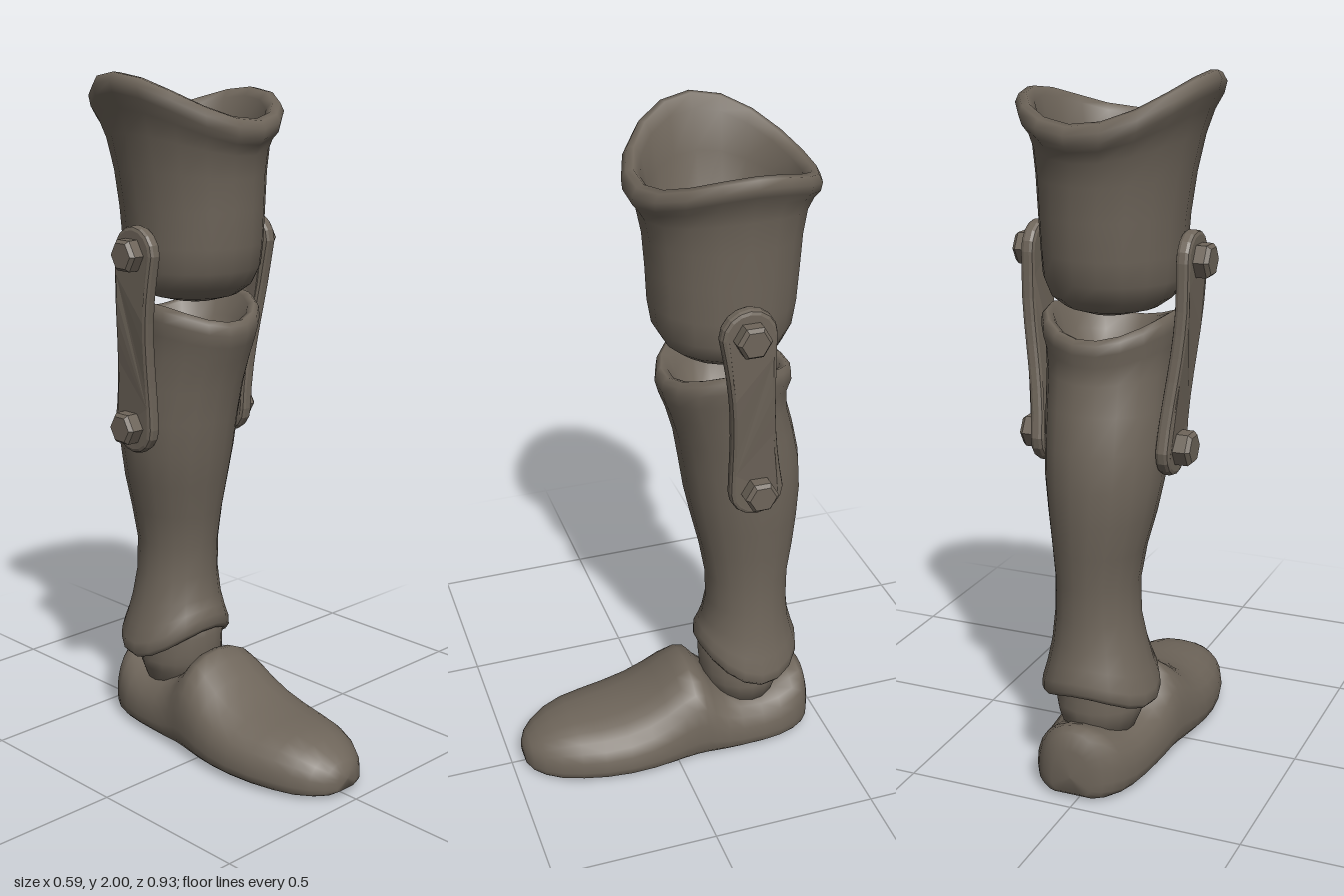
import * as THREE from 'three';

const leather = new THREE.MeshStandardMaterial({ color: 0x6e655a });
leather.name = 'grey brown';

// Skin through closed rows of points; shared vertices keep the surface smooth.
function skin(rows) {
  const n = rows[0].length, pos = [], idx = [];
  rows.forEach(r => r.forEach(p => pos.push(...p)));
  for (let i = 0; i < rows.length - 1; i++) for (let j = 0; j < n; j++) {
    const a = i * n + j, b = i * n + (j + 1) % n;
    idx.push(a, a + n, b, b, a + n, b + n);
  }
  const g = new THREE.BufferGeometry();
  g.setAttribute('position', new THREE.Float32BufferAttribute(pos, 3));
  g.setIndex(idx);
  g.computeVertexNormals();
  return g;
}

// Horizontal rings: [y, xMin, xMax, zFront, zBack, saddle, lean to +x, lean to front]
function rings(list, n = 18) {
  return skin(list.map(([y, x0, x1, z0, z1, s = 0, t = 0, f = 0]) =>
    Array.from({ length: n }, (_, j) => {
      const a = j / n * Math.PI * 2, c = Math.cos(a), d = Math.sin(a);
      return [(x0 + x1) / 2 + c * (x1 - x0) / 2,
        y + s * Math.cos(2 * a) + t * c + f * d,
        (z0 + z1) / 2 + d * (z0 - z1) / 2];
    })));
}

function thighCup() {
  return rings([
    [1.35, 0.005, 0.005, -0.17, -0.17],
    [1.353, -0.06, 0.07, -0.10, -0.25],
    [1.37, -0.125, 0.135, -0.04, -0.30],
    [1.40, -0.168, 0.178, 0.00, -0.335],
    [1.45, -0.19, 0.196, 0.03, -0.362],
    [1.52, -0.197, 0.2, 0.042, -0.374],
    [1.62, -0.205, 0.205, 0.047, -0.38],
    [1.72, -0.222, 0.21, 0.053, -0.386, 0.008, -0.005],
    [1.80, -0.245, 0.218, 0.065, -0.398, 0.025, -0.012],
    [1.845, -0.268, 0.232, 0.082, -0.415, 0.04, -0.02],
    [1.872, -0.292, 0.252, 0.097, -0.43, 0.05, -0.027],
    [1.9, -0.3, 0.262, 0.1, -0.433, 0.05, -0.03],
    [1.922, -0.288, 0.252, 0.088, -0.421, 0.05, -0.03],
    [1.925, -0.268, 0.232, 0.068, -0.402, 0.048, -0.028],
    [1.9, -0.245, 0.21, 0.05, -0.383, 0.042, -0.022],
    [1.82, -0.218, 0.192, 0.034, -0.366, 0.025, -0.012],
    [1.7, -0.185, 0.175, 0.015, -0.345],
    [1.6, -0.13, 0.13, -0.03, -0.3],
    [1.56, -0.06, 0.06, -0.1, -0.23],
    [1.55, 0, 0, -0.165, -0.165],
  ]);
}

function shinShell() {
  return rings([
    [0.45, -0.08, 0.11, -0.16, -0.36],
    [0.34, -0.115, 0.135, -0.14, -0.385, -0.03, 0, 0.015],
    [0.29, -0.135, 0.15, -0.125, -0.4, -0.035, 0, 0.02],
    [0.28, -0.152, 0.165, -0.112, -0.415, -0.035, 0, 0.02],
    [0.295, -0.166, 0.178, -0.103, -0.425, -0.035, 0, 0.02],
    [0.325, -0.163, 0.176, -0.104, -0.424, -0.033, 0, 0.02],
    [0.365, -0.146, 0.162, -0.114, -0.41, -0.025, 0, 0.012],
    [0.42, -0.127, 0.147, -0.125, -0.395, -0.01],
    [0.50, -0.108, 0.137, -0.135, -0.386],
    [0.60, -0.105, 0.135, -0.13, -0.386],
    [0.70, -0.122, 0.143, -0.112, -0.4],
    [0.80, -0.148, 0.155, -0.088, -0.41],
    [0.90, -0.167, 0.166, -0.066, -0.415],
    [1.00, -0.172, 0.171, -0.05, -0.407],
    [1.10, -0.17, 0.176, -0.032, -0.383],
    [1.19, -0.167, 0.183, -0.008, -0.358, 0.01],
    [1.25, -0.174, 0.19, 0.012, -0.356, 0.02],
    [1.29, -0.184, 0.2, 0.022, -0.368, 0.025],
    [1.32, -0.182, 0.198, 0.018, -0.365, 0.028],
    [1.333, -0.168, 0.185, 0.004, -0.35, 0.028],
    [1.325, -0.15, 0.166, -0.015, -0.333, 0.026],
    [1.27, -0.13, 0.145, -0.035, -0.315, 0.01],
    [1.2, -0.09, 0.1, -0.08, -0.27],
    [1.18, 0.005, 0.005, -0.17, -0.17],
  ]);
}

function ankleJoint() {
  return rings([
    [0.1, 0.015, 0.015, -0.25, -0.25],
    [0.13, -0.08, 0.11, -0.16, -0.35],
    [0.195, -0.108, 0.138, -0.13, -0.368],
    [0.225, -0.115, 0.143, -0.118, -0.375],
    [0.25, -0.11, 0.138, -0.118, -0.368],
    [0.31, -0.112, 0.138, -0.112, -0.372],
    [0.36, -0.1, 0.125, -0.125, -0.37],
    [0.46, 0.015, 0.015, -0.25, -0.25],
  ]);
}

// Foot sections from toe to heel: [z, centre x, half width, bottom, top]
function foot() {
  const n = 24;
  const list = [
    [0.465, 0.003, 0, 0.05, 0.05], [0.461, 0.003, 0.04, 0.018, 0.075],
    [0.445, 0.002, 0.075, 0.009, 0.096], [0.415, 0.002, 0.108, 0.004, 0.117],
    [0.37, 0.002, 0.138, 0, 0.14], [0.31, 0.002, 0.163, 0, 0.154],
    [0.24, 0.002, 0.181, 0, 0.159], [0.16, 0.002, 0.191, 0, 0.17],
    [0.09, 0.002, 0.192, 0, 0.192], [0.03, 0.002, 0.188, 0, 0.226],
    [-0.02, 0.003, 0.182, 0, 0.264], [-0.06, 0.005, 0.177, 0, 0.286],
    [-0.09, 0.007, 0.174, 0, 0.28], [-0.12, 0.009, 0.171, 0, 0.242],
    [-0.16, 0.011, 0.168, 0, 0.203], [-0.21, 0.013, 0.165, 0, 0.183],
    [-0.28, 0.015, 0.16, 0, 0.174], [-0.34, 0.016, 0.152, 0, 0.182],
    [-0.39, 0.016, 0.136, 0, 0.202], [-0.425, 0.016, 0.115, 0.003, 0.212],
    [-0.445, 0.016, 0.092, 0.007, 0.2], [-0.46, 0.016, 0.06, 0.02, 0.15],
    [-0.465, 0.016, 0, 0.07, 0.07],
  ];
  return skin(list.map(([z, cx, w, b, h]) => Array.from({ length: n }, (_, j) => {
    const a = j / n * Math.PI * 2, c = Math.cos(a), s = Math.sin(a);
    const mid = b + (h - b) * 0.27;
    const x = cx + w * Math.sign(c) * Math.abs(c) ** (s < 0 ? 0.7 : 0.85);
    const y = s < 0 ? mid - (mid - b) * Math.min(1, Math.abs(s) ** 0.6 * 1.12)
      : mid + (h - mid) * s ** 0.9;
    return [x, y, z];
  })));
}

// Hinge bar: waisted outline in the z-y plane, bent inward towards the shin.
function hingeBar(side, xTop, xLow) {
  const top = [-0.157, 1.505], low = [-0.21, 0.995], r = 0.068, pts = [];
  for (let i = 0; i <= 8; i++) {
    const a = i / 8 * Math.PI;
    pts.push(new THREE.Vector2(top[0] + r * Math.cos(a), top[1] + r * Math.sin(a)));
  }
  const edge = (sgn, k) => new THREE.Vector2(
    THREE.MathUtils.lerp(top[0], low[0], k) + sgn * (r - 0.016 * Math.sin(Math.PI * k)),
    THREE.MathUtils.lerp(top[1], low[1], k));
  for (let i = 1; i < 8; i++) pts.push(edge(-1, i / 8));
  for (let i = 0; i <= 8; i++) {
    const a = Math.PI + i / 8 * Math.PI;
    pts.push(new THREE.Vector2(low[0] + r * Math.cos(a), low[1] + r * Math.sin(a)));
  }
  for (let i = 7; i > 0; i--) pts.push(edge(1, i / 8));
  const g = new THREE.ExtrudeGeometry(new THREE.Shape(pts), {
    depth: 0.016, bevelThickness: 0.012, bevelSize: 0.012, bevelSegments: 2,
  });
  g.translate(0, 0, -0.008);
  g.rotateY(-Math.PI / 2); // outline x becomes z
  const p = g.attributes.position;
  for (let i = 0; i < p.count; i++) {
    const k = THREE.MathUtils.smoothstep(p.getY(i), 0.98, 1.42);
    p.setX(i, p.getX(i) + side * THREE.MathUtils.lerp(xLow, xTop, k));
  }
  g.computeVertexNormals();
  return g;
}

// Hexagonal bolt head with a chamfered outer face
function bolt() {
  const g = new THREE.LatheGeometry([[0, -0.035], [0.04, -0.035], [0.05, -0.02],
    [0.05, 0.024], [0.04, 0.035], [0, 0.035]].map(p => new THREE.Vector2(...p)), 6).toNonIndexed();
  g.computeVertexNormals();
  return g;
}

export function createModel() {
  const model = new THREE.Group();
  model.name = 'artificialLeg';
  const add = (name, geometry, parent = model) => {
    const m = new THREE.Mesh(geometry, leather);
    m.name = name;
    parent.add(m);
    return m;
  };
  add('thighCup', thighCup());
  add('shinShell', shinShell());
  add('ankleJoint', ankleJoint());
  add('foot', foot());

  // Knee hinges, each a bar with two bolts
  for (const [label, side, xTop, xLow] of [['left', 1, 0.232, 0.188], ['right', -1, 0.22, 0.184]]) {
    const hinge = new THREE.Group();
    hinge.name = label + 'KneeHinge';
    model.add(hinge);
    add('hingeBar', hingeBar(side, xTop, xLow), hinge);
    for (const [name, y, z, x] of [['upperBolt', 1.505, -0.158, xTop + 0.026], ['lowerBolt', 0.995, -0.21, xLow + 0.033]]) {
      const b = add(name, bolt(), hinge);
      b.position.set(side * x, y, z);
      b.rotation.z = -side * Math.PI / 2;
    }
  }
  return model;
}
